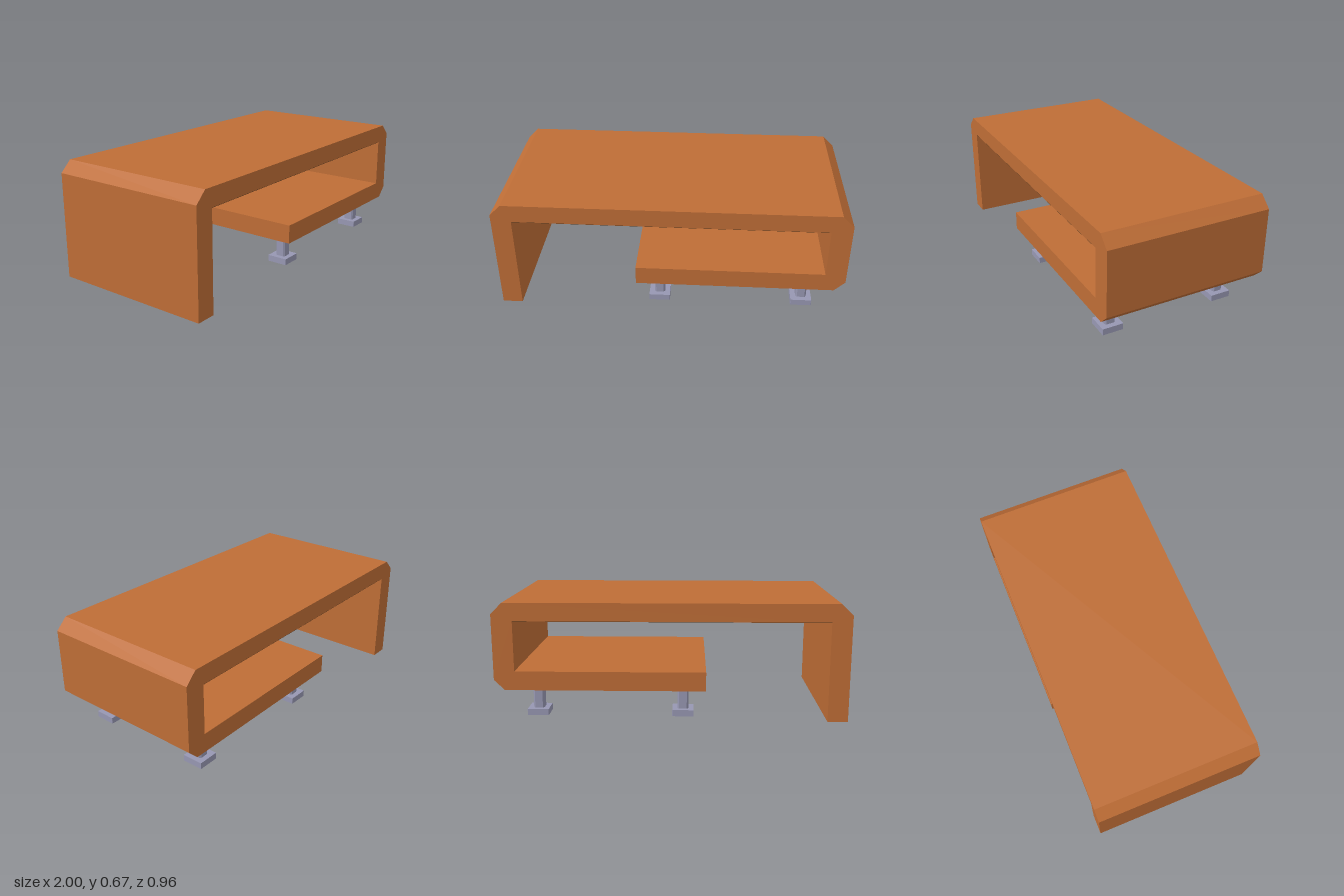
import * as THREE from 'three';

const wood = new THREE.MeshStandardMaterial({ name: 'brown wood', color: 0xbe6d36, side: THREE.DoubleSide });
const darkWood = new THREE.MeshStandardMaterial({ name: 'dark underside', color: 0x603e20 });
const metal = new THREE.MeshStandardMaterial({ name: 'grey metal', color: 0x9797b2 });

const DEPTH = 0.96;
const polygon = (points) => points.map(([x, y]) => new THREE.Vector2(x, y));

// Square outline with cut corners
function square(half, cut) {
  const s = half - cut;
  return polygon([[s, -half], [half, -s], [half, s], [s, half],
    [-s, half], [-half, s], [-half, -s], [-s, -half]]);
}

// Upright hollow square section standing at height y
function tube(name, half, inner, cut, y, height) {
  const shape = new THREE.Shape(square(half, cut));
  shape.holes.push(new THREE.Path(square(inner, cut * 0.6).reverse()));
  const geometry = new THREE.ExtrudeGeometry(shape, { depth: height, bevelEnabled: false });
  geometry.rotateX(-Math.PI / 2);
  const mesh = new THREE.Mesh(geometry, metal);
  mesh.name = name;
  mesh.position.y = y;
  return mesh;
}

function foot(x, z) {
  const group = new THREE.Group();
  group.name = 'foot';
  group.add(
    tube('post', 0.031, 0.023, 0.009, 0.03, 0.143),
    tube('baseRim', 0.0615, 0.049, 0.001, 0, 0.037),
    tube('basePlate', 0.05, 0.023, 0.001, 0.03, 0.007),
  );
  group.position.set(x, 0, z);
  return group;
}

// Flat panel spanning the table's depth, with its face to the right of a -> b
function panel(a, b) {
  const [dx, dy] = [b[0] - a[0], b[1] - a[1]];
  const geometry = new THREE.PlaneGeometry(Math.hypot(dx, dy), DEPTH);
  geometry.rotateX(Math.PI / 2);
  geometry.rotateZ(Math.atan2(dy, dx));
  geometry.translate((a[0] + b[0]) / 2, (a[1] + b[1]) / 2, 0);
  const mesh = new THREE.Mesh(geometry, wood);
  mesh.name = 'panel';
  return mesh;
}

export function createModel() {
  const model = new THREE.Group();
  model.name = 'coffeeTable';

  // Hollow folded band, open below the leg and below the shelf
  const inside = [[-0.885, 0], [-0.885, 0.57], [0.882, 0.57], [0.882, 0.282],
    [-0.198, 0.282], [-0.198, 0.173]];
  const outside = [[0.94, 0.173], [1, 0.232], [1, 0.609], [0.935, 0.673],
    [-0.935, 0.673], [-1, 0.609], [-1, 0]];
  const band = new THREE.Group();
  band.name = 'foldedTopAndShelf';
  for (const run of [inside, outside]) {
    for (let i = 1; i < run.length; i++) band.add(panel(run[i - 1], run[i]));
  }

  // Front and back faces of the band
  const profile = new THREE.Shape(polygon([...inside, ...outside]));
  for (const side of [1, -1]) {
    const face = new THREE.Mesh(new THREE.ShapeGeometry(profile), wood);
    face.name = side > 0 ? 'frontFace' : 'backFace';
    face.position.z = side * DEPTH / 2;
    band.add(face);
  }
  model.add(band);

  // Dark lining under the top
  const lining = new THREE.Mesh(new THREE.BoxGeometry(1.766, 0.003, 0.958), darkWood);
  lining.name = 'topLining';
  lining.position.set(-0.0015, 0.569, 0);
  model.add(lining);

  // Four feet below the shelf
  for (const x of [-0.067, 0.773]) {
    for (const z of [-0.342, 0.352]) model.add(foot(x, z));
  }
  return model;
}
